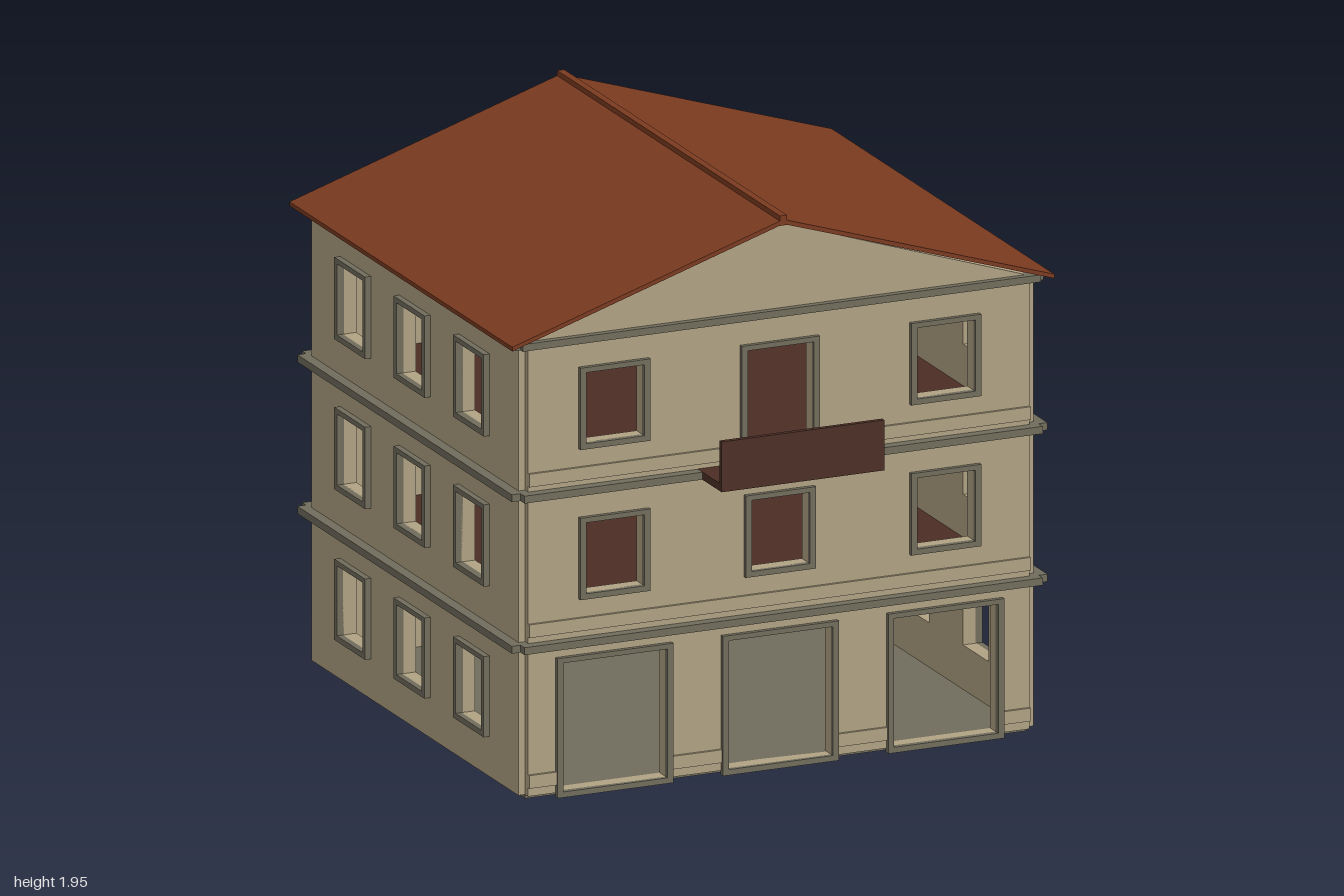
import * as THREE from 'three';

const mat = (name, color) => Object.assign(new THREE.MeshStandardMaterial({ color }), { name });

export function createModel() {
  const house = new THREE.Group();
  house.name = 'house';
  const plaster = mat('plaster', 0xb0a283);
  const stone = mat('stone trim', 0x716d5d);
  const tile = mat('roof tile', 0x7b3a20);
  const wood = mat('dark wood', 0x4c2e25);
  const midZ = -0.075;

  const add = (parent, name, geo, material) => {
    const mesh = new THREE.Mesh(geo, material);
    mesh.name = name;
    parent.add(mesh);
    return mesh;
  };
  // Box given by its limits
  const box = (parent, name, material, x0, x1, y0, y1, z0, z1) => {
    const m = add(parent, name, new THREE.BoxGeometry(x1 - x0, y1 - y0, z1 - z0), material);
    m.position.set((x0 + x1) / 2, (y0 + y1) / 2, (z0 + z1) / 2);
    return m;
  };
  const poly = (pts, Type = THREE.Shape) => new Type(pts.map(p => new THREE.Vector2(...p)));
  const rect = (x0, x1, y0, y1, Type) => poly([[x0, y0], [x1, y0], [x1, y1], [x0, y1]], Type);
  // Extrusion between two depths
  const slab = (shape, z0, z1) =>
    new THREE.ExtrudeGeometry(shape, { depth: z1 - z0, bevelEnabled: false }).translate(0, 0, z0);

  // Openings are [centre x, half width, bottom, top]
  const wallDepth = 0.05;
  function facade(name, half, dist, angle, openings, opts) {
    const g = new THREE.Group();
    g.name = name;
    g.rotation.y = angle;
    g.position.z = midZ;
    house.add(g);

    const wall = rect(-half, half, 0.015, 1.6);
    for (const [x, w, y0, y1] of openings) {
      wall.holes.push(rect(x - w, x + w, y0, y1, THREE.Path));
      const ring = rect(x - w - 0.022, x + w + 0.022, Math.max(0, y0 - 0.02), y1 + 0.018);
      ring.holes.push(rect(x - w, x + w, y0, y1, THREE.Path));
      add(g, 'openingFrame', slab(ring, dist - 0.005, dist + opts.frame), stone);
    }
    add(g, 'wall', slab(wall, dist - wallDepth, dist), plaster);

    // Projecting ledges above each storey
    for (const [y0, y1, out] of [[0.527, 0.553, 0.038], [1.06, 1.086, 0.038], [1.59, 1.615, 0.024]])
      box(g, 'ledge', stone, -half - 0.031, half + 0.031, y0, y1, dist - 0.04, dist + out);

    if (!opts.gable) return;
    add(g, 'gable', slab(poly([[-half, 1.61], [half, 1.61], [0, 1.915]]), dist - wallDepth, dist), plaster);

    // Skirting bands, interrupted where openings cross them
    for (const y of [0.045, 0.575, 1.105]) {
      let start = -half;
      const band = end => box(g, 'skirtingBand', plaster, start, end, y, y + 0.046, dist - 0.005, dist + 0.01);
      for (const [x, w, y0, y1] of openings) {
        if (y0 > y + 0.046 || y1 < y) continue;
        band(x - w - 0.02);
        start = x + w + 0.02;
      }
      band(half);
    }
  }

  const row = (xs, w, y0, y1) => xs.map(x => [x, w, y0, y1]);
  const bays = [-0.61, 0, 0.61];
  const upper = [0.706, 0.956], top = [1.234, 1.484];

  facade('frontFacade', 0.925, 0.865, 0, [
    ...row(bays, 0.192, 0.02, 0.473),
    ...row(bays, 0.107, ...upper),
    ...row([-0.61, 0.61], 0.107, ...top),
    [0, 0.122, 1.09, 1.484],
  ], { frame: 0.016, gable: true });

  facade('backFacade', 0.925, 0.865, Math.PI, [
    [0, 0.118, 0.205, 0.447],
    ...row(bays, 0.11, ...upper),
    ...row(bays, 0.11, ...top),
  ], { frame: 0.016, gable: true });

  for (const [name, s] of [['leftFacade', 1], ['rightFacade', -1]]) {
    facade(name, 0.84, 0.95, s * Math.PI / 2, [
      ...row([-0.482, 0, 0.482], 0.103, 0.176, 0.422),
      ...row([-0.482, 0, 0.482], 0.103, ...upper),
      ...row([-0.482, 0, 0.482], 0.103, ...top),
    ], { frame: 0.022, gable: false });
  }

  // Base and inner floors
  box(house, 'base', stone, -0.925, 0.925, 0, 0.02, -0.912, 0.762);
  for (const y of [0.527, 1.06])
    box(house, 'floor', wood, -0.91, 0.91, y, y + 0.028, -0.9, 0.75);

  // Balcony
  box(house, 'balconyFloor', wood, -0.3, 0.3, 1.06, 1.087, 0.74, 0.985);
  box(house, 'balconyParapet', wood, -0.3, 0.3, 1.06, 1.237, 0.967, 0.985);

  // Roof slopes and ridge
  for (const s of [-1, 1]) {
    const pts = [[0, 1.92], [s, 1.6], [s, 1.615], [0, 1.936]];
    add(house, 'roofSlope', slab(poly(pts), -0.983, 0.826), tile);
  }
  box(house, 'ridgeCap', tile, -0.013, 0.013, 1.915, 1.95, -0.983, 0.826);

  return house;
}
